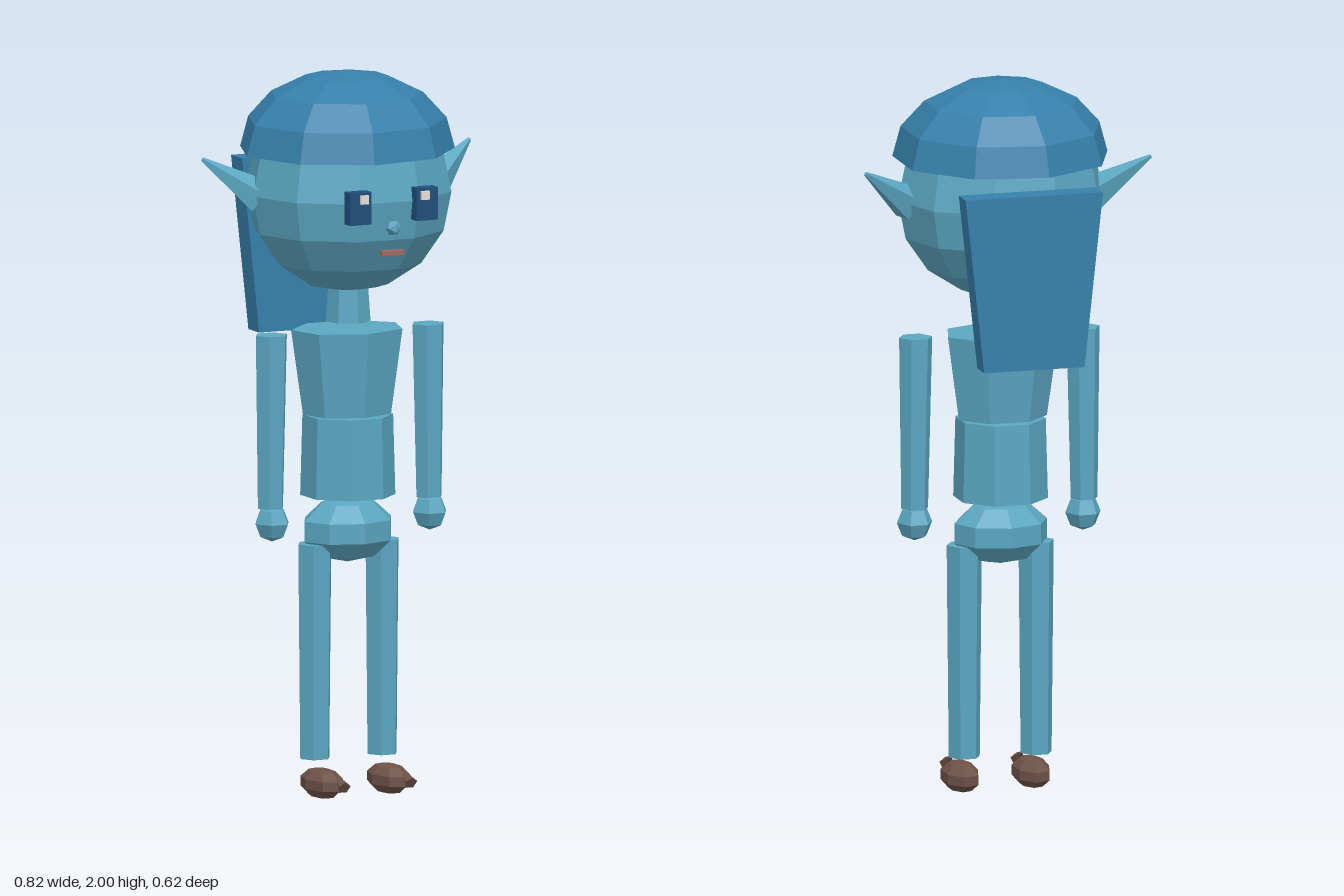
import * as THREE from 'three';

function material(name, color) {
  const m = new THREE.MeshStandardMaterial({ color, flatShading: true, side: THREE.DoubleSide });
  m.name = name;
  return m;
}

export function createModel() {
  const skin = material('blue skin', 0x5ba6c1);
  const hair = material('blue hair', 0x3680ab);
  const navy = material('navy eyes', 0x1f4e7a);
  const glint = material('pale glint', 0xe6e0d8);
  const lip = material('lip', 0xa3685c);
  const leather = material('brown leather', 0x6e5248);

  const model = new THREE.Group();
  model.name = 'elfFigure';

  const add = (name, geometry, mat, x, y, z) => {
    const mesh = new THREE.Mesh(geometry, mat);
    mesh.name = name;
    mesh.position.set(x, y, z);
    model.add(mesh);
    return mesh;
  };
  // Low-sided ellipsoid with radii rx, ry, rz
  const ball = (rx, ry, rz, sides, rows) => new THREE.SphereGeometry(1, sides, rows).scale(rx, ry, rz);
  // Tapered prism standing between two heights, with its depth scaled
  const limb = (name, x, y0, y1, z, r0, r1, sides, depth = 1, turn = 0) => add(
    name,
    new THREE.CylinderGeometry(r1, r0, y1 - y0, sides).rotateY(turn).scale(1, 1, depth),
    skin, x, (y0 + y1) / 2, z);
  // Cone whose base centre and tip are given
  const spike = (name, mat, base, tip, radius, tipRadius, sides, flat = 1) => {
    const a = new THREE.Vector3(...base), b = new THREE.Vector3(...tip);
    const dir = b.clone().sub(a);
    const geometry = new THREE.CylinderGeometry(tipRadius, radius, dir.length(), sides).scale(1, 1, flat);
    const mid = a.add(b).multiplyScalar(0.5);
    const mesh = add(name, geometry, mat, mid.x, mid.y, mid.z);
    mesh.quaternion.setFromUnitVectors(new THREE.Vector3(0, 1, 0), dir.normalize());
    return mesh;
  };

  // Head and hair cap
  add('head', ball(0.29, 0.28, 0.27, 10, 8), skin, 0, 1.672, 0.013);
  add('hairCap', new THREE.SphereGeometry(0.3, 9, 4, 0, Math.PI * 2, 0, Math.PI / 2).scale(1, 0.22 / 0.3, 0.97),
    hair, 0, 1.78, -0.003);

  // Hanging slab of hair, narrower at its lower end
  const slab = new THREE.BoxGeometry(0.39, 0.485, 0.068);
  const p = slab.attributes.position;
  for (let i = 0; i < p.count; i++) if (p.getY(i) < 0) p.setX(i, p.getX(i) * 0.73);
  add('backHair', slab, hair, -0.003, 1.493, -0.278);

  // Nose and mouth
  add('nose', new THREE.IcosahedronGeometry(0.022, 0), skin, 0, 1.605, 0.291);
  add('mouth', new THREE.BoxGeometry(0.066, 0.012, 0.02), lip, 0, 1.536, 0.283);

  // Neck and trunk
  limb('neck', 0, 1.31, 1.42, 0.01, 0.063, 0.055, 7);
  limb('chest', 0, 1.055, 1.29, 0.008, 0.128, 0.162, 7, 0.8);
  limb('belly', 0, 0.83, 1.052, 0.008, 0.13, 0.124, 8, 1, Math.PI / 8);
  add('pelvis', ball(0.138, 0.09, 0.112, 8, 5), skin, 0, 0.735, 0.008);

  for (const s of [-1, 1]) {
    const side = s > 0 ? 'left' : 'right';
    // Eyes with glints
    add(side + 'Eye', new THREE.BoxGeometry(0.065, 0.09, 0.035), navy, s * 0.101, 1.665, 0.279);
    add(side + 'EyeGlint', new THREE.BoxGeometry(0.024, 0.024, 0.009), glint, s * 0.092, 1.69, 0.301);
    // Pointed ear
    spike(side + 'Ear', skin, [s * 0.26, 1.665, -0.005], [s * 0.405, 1.772, -0.067], 0.053, 0.006, 5, 0.9);
    // Arm and hand
    const arm = limb(side + 'Arm', s * 0.239, 0.81, 1.288, 0.02, 0.038, 0.047, 6, 0.95, Math.PI / 6);
    arm.rotation.z = s * 0.006;
    add(side + 'Hand', ball(0.05, 0.051, 0.055, 6, 4), skin, s * 0.239, 0.77, 0.027);
    // Leg
    limb(side + 'Leg', s * 0.102, 0.11, 0.702, 0.012, 0.044, 0.05, 6, 1, Math.PI / 6);
    // Shoe with a loose curled toe
    add(side + 'Shoe', ball(0.053, 0.043, 0.093, 7, 5), leather, s * 0.101, 0.047, 0.055);
    spike(side + 'ShoeToe', leather, [s * 0.101, 0.052, 0.193], [s * 0.101, 0.084, 0.141], 0.019, 0.001, 5);
  }

  return model;
}
